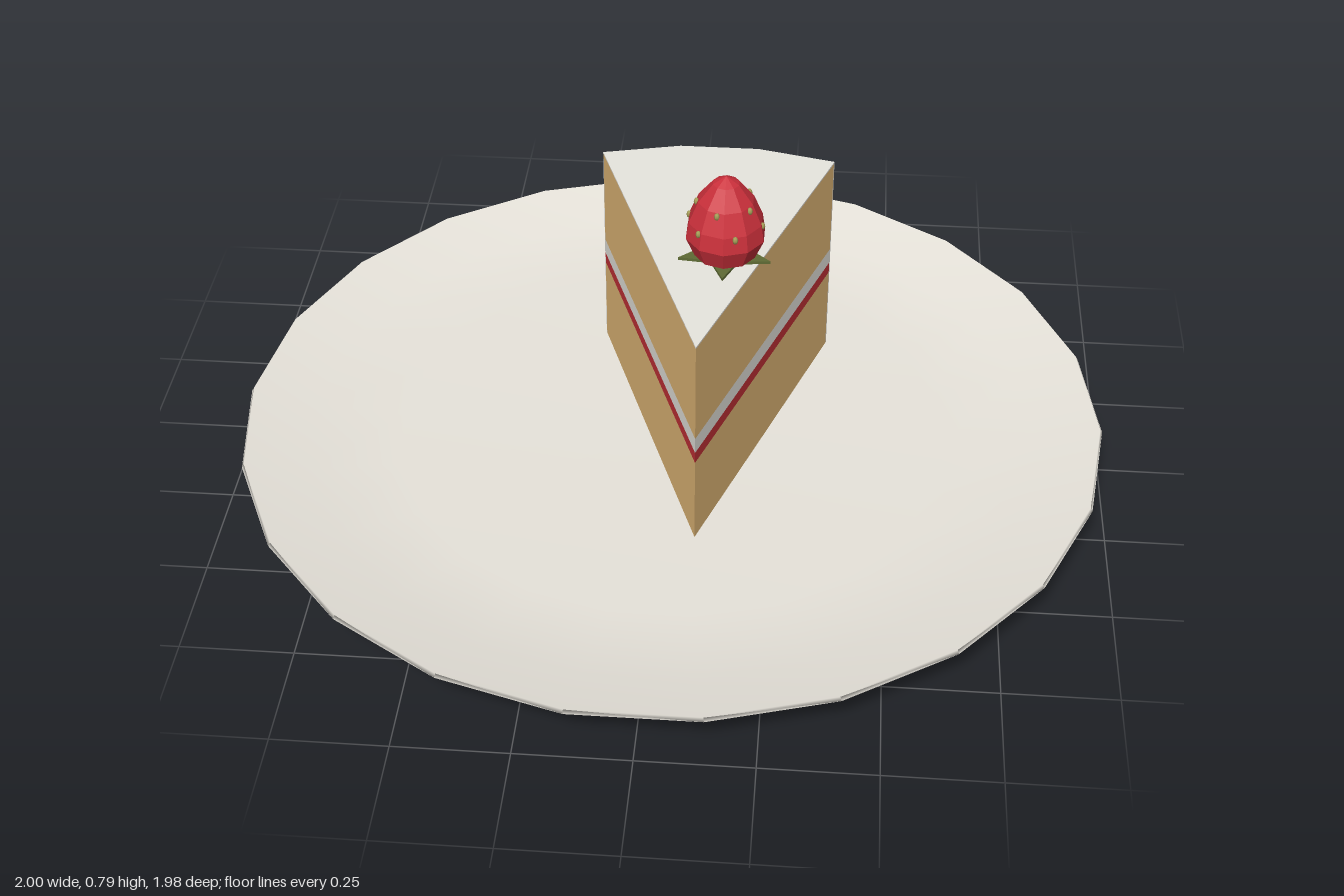
import * as THREE from 'three';

const mat = (name, color, extra = {}) => Object.assign(new THREE.MeshStandardMaterial({ color, ...extra }), { name });

export function createModel() {
  const model = new THREE.Group();
  model.name = 'cakeOnPlate';

  const china = mat('china', 0xf0ece3);
  const frosting = mat('frosting', 0xf1efe8);
  const sponge = mat('sponge', 0xe3b977);
  const jam = mat('jam', 0xc23036);
  const berryRed = mat('berryRed', 0xcb303b, { flatShading: true });
  const leafGreen = mat('leafGreen', 0x5f6b35);
  const seedGold = mat('seedGold', 0xa8a058);

  const add = (parent, name, geometry, material) => {
    const mesh = new THREE.Mesh(geometry, material);
    mesh.name = name;
    parent.add(mesh);
    return mesh;
  };
  // Outline given as [x, z], raised from y0 to y1
  const slab = (outline, y0, y1) => {
    const shape = new THREE.Shape(outline.map(([x, z]) => new THREE.Vector2(x, -z)));
    return new THREE.ExtrudeGeometry(shape, { depth: y1 - y0, bevelEnabled: false })
      .rotateX(-Math.PI / 2).translate(0, y0, 0);
  };

  // Plate: shallow dish with a thin rim
  const profile = [[0, 0], [0.65, 0], [1, 0.112], [0.995, 0.12], [0.85, 0.082], [0.64, 0.062], [0, 0.06]]
    .map(([r, y]) => new THREE.Vector2(r, y));
  add(model, 'plate', new THREE.LatheGeometry(profile, 22, Math.PI / 2), china);

  // Cake slice: a wedge with its tip to the front and a faceted back
  const cake = new THREE.Group();
  cake.name = 'cakeSlice';
  model.add(cake);
  const tip = [0.08, 0.38], radius = 0.797, skin = 0.004, top = 0.588;
  const arc = (r) => [-20, -20 / 3, 20 / 3, 20].map((deg) => {
    const a = THREE.MathUtils.degToRad(deg);
    return [tip[0] + r * Math.sin(a), tip[1] - r * Math.cos(a)];
  });
  const wedge = (r) => [tip, ...arc(r)];
  const layers = [
    ['lowerSponge', 0.06, 0.275, sponge],
    ['jamLayer', 0.275, 0.303, jam],
    ['creamLayer', 0.303, 0.342, frosting],
    ['upperSponge', 0.342, top - skin, sponge],
  ];
  for (const [name, y0, y1, material] of layers) add(cake, name, slab(wedge(radius - skin), y0, y1), material);
  add(cake, 'topFrosting', slab(wedge(radius), top - skin, top), frosting);
  add(cake, 'backFrosting', slab([...arc(radius), ...arc(radius - skin).reverse()], 0.06, top - skin), frosting);

  // Strawberry resting on the frosting
  const berry = new THREE.Group();
  berry.name = 'strawberry';
  berry.position.set(0.12, top, 0.03);
  model.add(berry);
  const bodyProfile = [[0, 0.004], [0.07, 0.008], [0.09, 0.055], [0.084, 0.095], [0.063, 0.145], [0.03, 0.187], [0, 0.204]];
  add(berry, 'berryBody',
    new THREE.LatheGeometry(bodyProfile.map(([r, y]) => new THREE.Vector2(r, y)), 10), berryRed);

  // Five pointed leaves as a flat star under the berry
  const star = Array.from({ length: 10 }, (_, i) => {
    const a = (i * Math.PI) / 5, r = i % 2 ? 0.05 : 0.107;
    return [r * Math.sin(a), r * Math.cos(a)];
  });
  add(berry, 'leaves', slab(star, 0.001, 0.008), leafGreen);

  // Seeds in staggered rings
  const seed = new THREE.SphereGeometry(0.008, 6, 4);
  [[0.083, 0.09, 6], [0.064, 0.138, 5]].forEach(([r, y, count], row) => {
    for (let i = 0; i < count; i++) {
      const a = ((i + row * 0.5 + 0.3) / count) * Math.PI * 2;
      const mesh = add(berry, 'seed', seed, seedGold);
      mesh.position.set(r * Math.sin(a), y, r * Math.cos(a));
      mesh.scale.set(0.8, 1.2, 0.8);
    }
  });

  return model;
}
